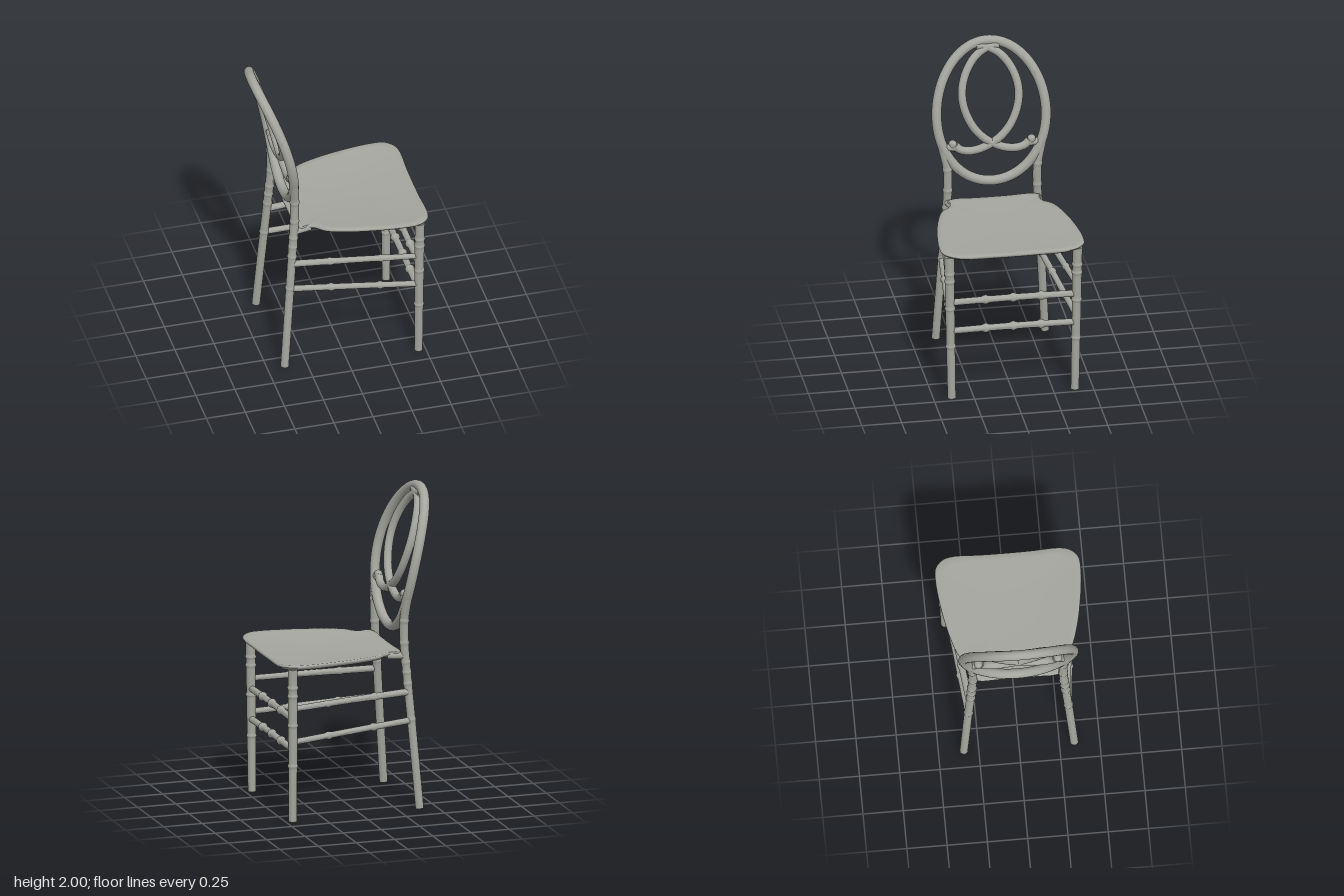
import * as THREE from 'three';
import { toCreasedNormals } from 'three/addons/utils/BufferGeometryUtils.js';

const V = (x, y, z) => new THREE.Vector3(x, y, z);
const resin = new THREE.MeshStandardMaterial({ color: 0xa5a59f });
resin.name = 'warm grey resin';

function addMesh(parent, name, geometry) {
  const mesh = new THREE.Mesh(toCreasedNormals(geometry, 0.8), resin);
  mesh.name = name;
  parent.add(mesh);
  return mesh;
}

// Round bar along a curve whose radius follows a rule; open bars get flat caps
function sweep(points, radiusAt, segs, closed = false, sides = 16) {
  const curve = new THREE.CatmullRomCurve3(points, closed);
  const g = new THREE.TubeGeometry(curve, segs, 1, sides, closed);
  const p = g.attributes.position, n = g.attributes.normal;
  for (let i = 0; i <= segs; i++) {
    const cap = !closed && (i === 0 || i === segs);
    const ring = cap ? (i === 0 ? 1 : segs - 1) : i;
    const c = curve.getPointAt(ring / segs);
    const r = cap ? 0 : radiusAt(ring / segs);
    for (let j = 0; j <= sides; j++) {
      const k = i * (sides + 1) + j;
      p.setXYZ(k, c.x + n.getX(k) * r, c.y + n.getY(k) * r, c.z + n.getZ(k) * r);
    }
  }
  return g;
}

// Tapered radius with bamboo-like swellings at the given positions
const turned = (r0, r1, rings, bump, width) => (u) =>
  r0 + (r1 - r0) * u +
  rings.reduce((s, t) => s + bump * Math.exp(-(((u - t) / width) ** 2)), 0);

// Backward lean of the back rest at a given height
const backX = (y) => -0.31 - 0.294 * Math.max(0, y - 1.15) ** 2;

// Dished seat: loops of one outline, from top centre round the rim to the underside
function seatGeometry() {
  const half = [
    [-0.3, 0.12], [-0.3, 0.24], [-0.275, 0.288], [-0.225, 0.282], [-0.185, 0.295],
    [-0.13, 0.348], [0, 0.395], [0.2, 0.435], [0.38, 0.452], [0.46, 0.443],
    [0.512, 0.395], [0.53, 0.33], [0.527, 0.16],
  ];
  const pts = [
    ...half.map(([x, z]) => V(x, 0, z)), V(0.526, 0, 0),
    ...half.slice().reverse().map(([x, z]) => V(x, 0, -z)), V(-0.3, 0, 0),
  ];
  const N = 120, cx = 0.08;
  const outline = new THREE.CatmullRomCurve3(pts, true).getPoints(N).slice(0, N);
  const loops = [
    [0, -0.01], [0.3, -0.01], [0.6, -0.007], [0.9, -0.002], [0.98, 0], [0.995, -0.004],
    [1, -0.011], [0.992, -0.019], [0.96, -0.03], [0.85, -0.042], [0.5, -0.05], [0, -0.052],
  ];
  const pos = [], idx = [];
  loops.forEach(([s, dy], i) => {
    outline.forEach((o, j) => {
      const x = cx + (o.x - cx) * s, z = o.z * s;
      pos.push(x, 0.996 + 0.015 * (z / 0.45) ** 2 + dy, z);
      if (i === 0) return;
      const k = (j + 1) % N;
      const a = (i - 1) * N + j, b = (i - 1) * N + k, c = i * N + j, d = i * N + k;
      idx.push(a, c, b, b, c, d);
    });
  });
  const g = new THREE.BufferGeometry();
  g.setAttribute('position', new THREE.Float32BufferAttribute(pos, 3));
  g.setIndex(idx);
  return g;
}

export function createModel() {
  const chair = new THREE.Group();
  chair.name = 'chair';

  addMesh(chair, 'seat', seatGeometry());

  for (const s of [1, -1]) {
    const side = s > 0 ? 'left' : 'right';

    // Front leg
    addMesh(chair, side + 'FrontLeg', sweep(
      [V(0.455, 0, s * 0.386), V(0.457, 0.5, s * 0.395), V(0.46, 0.985, s * 0.402)],
      turned(0.026, 0.031, [0.365, 0.63, 0.82, 0.875], 0.005, 0.008), 200));

    // Rear leg running up into the back oval
    addMesh(chair, side + 'RearLeg', sweep(
      [V(-0.39, 0, s * 0.343), V(-0.352, 0.5, s * 0.314), V(-0.325, 0.85, s * 0.291),
        V(-0.311, 1.05, s * 0.281), V(-0.31, 1.2, s * 0.283), V(backX(1.3), 1.3, s * 0.302),
        V(backX(1.42), 1.42, s * 0.331)],
      turned(0.026, 0.028, [0.4, 0.56, 0.61, 0.655, 0.74, 0.84], 0.004, 0.006), 240));

    // Lug joining seat and rear leg
    addMesh(chair, side + 'SeatLug', sweep(
      [V(-0.31, 0.975, s * 0.284), V(-0.26, 0.975, s * 0.274), V(-0.2, 0.976, s * 0.262)],
      () => 0.022, 24));

    // Side stretchers
    addMesh(chair, side + 'UpperSideStretcher', sweep(
      [V(-0.335, 0.745, s * 0.302), V(0.06, 0.737, s * 0.35), V(0.455, 0.725, s * 0.398)],
      turned(0.022, 0.018, [0.3, 0.7], 0.005, 0.015), 100));
    addMesh(chair, side + 'LowerSideStretcher', sweep(
      [V(-0.347, 0.565, s * 0.312), V(0.05, 0.54, s * 0.352), V(0.455, 0.512, s * 0.394)],
      turned(0.02, 0.019, [0.32, 0.7], 0.007, 0.015), 100));

    // Inner scroll: from the top of the oval, round one side, crossing to the other
    const scroll = [
      [0.08, 1.945], [0, 1.93], [-0.075, 1.888], [-0.14, 1.805], [-0.175, 1.7],
      [-0.172, 1.6], [-0.13, 1.485], [-0.07, 1.405], [0, 1.352], [0.08, 1.318],
      [0.15, 1.31], [0.205, 1.325], [0.24, 1.362],
    ].map(([z, y]) => V(backX(y), y, s * z));
    addMesh(chair, side + 'BackScroll', sweep(scroll, () => 0.026, 100));

    // Knob at the scroll end, tying it to the oval
    const knob = addMesh(chair, side + 'ScrollKnob', new THREE.SphereGeometry(0.027, 16, 12));
    knob.position.set(backX(1.362), 1.36, s * 0.247);
    addMesh(chair, side + 'ScrollTie', sweep(
      [V(backX(1.34), 1.335, s * 0.22), V(backX(1.34), 1.34, s * 0.265), V(backX(1.35), 1.345, s * 0.31)],
      () => 0.022, 20));
  }

  // Front stretchers
  for (const [name, y, z] of [['upperFrontStretcher', 0.66, 0.397], ['lowerFrontStretcher', 0.465, 0.393]]) {
    addMesh(chair, name, sweep(
      [V(0.457, y, -z), V(0.457, y + 0.004, 0), V(0.457, y, z)],
      turned(0.021, 0.021, [0.28, 0.5, 0.72], 0.009, 0.02), 120));
  }

  // Back oval, leaning along the same curve as the scrolls
  const oval = [];
  for (let i = 0; i < 40; i++) {
    const a = (i / 40) * Math.PI * 2;
    const y = 1.535 + 0.435 * Math.sin(a);
    oval.push(V(backX(y), y, 0.343 * Math.cos(a)));
  }
  addMesh(chair, 'backOval', sweep(oval, () => 0.031, 120, true));

  return chair;
}
